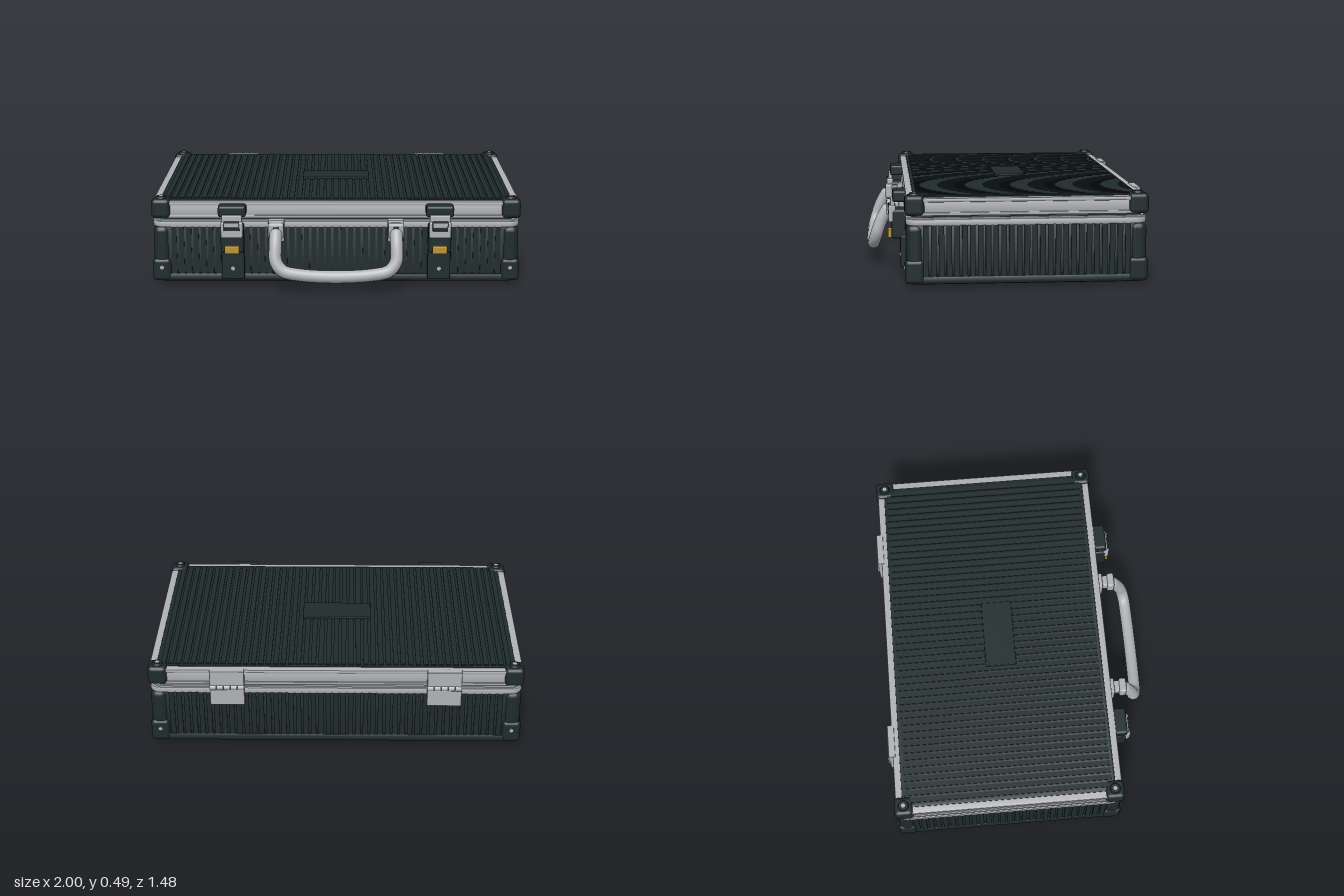
import * as THREE from 'three';
import { mergeGeometries, toCreasedNormals } from 'three/addons/utils/BufferGeometryUtils.js';
import { RoundedBoxGeometry } from 'three/addons/geometries/RoundedBoxGeometry.js';

const mat = (name, color) => {
  const m = new THREE.MeshStandardMaterial({ color });
  m.name = name;
  return m;
};

export function createModel() {
  const model = new THREE.Group();
  model.name = 'briefcase';
  const dark = mat('dark shell', 0x1f2b2b);
  const silver = mat('brushed silver', 0xb0b2b6);
  const gold = mat('gold button', 0xbd942f);
  const ZC = -0.087; // centre of the case in z

  const add = (name, geo, material, x = 0, y = 0, z = 0, parent = model) => {
    const mesh = new THREE.Mesh(geo, material);
    mesh.name = name;
    mesh.position.set(x, y, z);
    parent.add(mesh);
    return mesh;
  };
  // box given by its lower and upper limits, with softened edges
  const block = (name, material, [x0, x1], [y0, y1], [z0, z1], r = 0.006, parent = model) =>
    add(name, new RoundedBoxGeometry(x1 - x0, y1 - y0, z1 - z0, 2, r), material,
      (x0 + x1) / 2, (y0 + y1) / 2, (z0 + z1) / 2, parent);

  // horizontal slab with rounded corners and bevelled edges
  const slab = (name, material, hx, hz, r, y0, y1, b) => {
    const X = hx - b, Z = hz - b, R = r - b;
    const s = new THREE.Shape();
    s.moveTo(-X + R, -Z);
    s.lineTo(X - R, -Z);
    s.absarc(X - R, -Z + R, R, -Math.PI / 2, 0);
    s.absarc(X - R, Z - R, R, 0, Math.PI / 2);
    s.absarc(-X + R, Z - R, R, Math.PI / 2, Math.PI);
    s.absarc(-X + R, -Z + R, R, Math.PI, Math.PI * 1.5);
    const g = new THREE.ExtrudeGeometry(s, {
      depth: y1 - y0 - 2 * b, bevelEnabled: b > 0, bevelSize: b, bevelThickness: b,
      bevelSegments: 2, curveSegments: 8,
    });
    g.rotateX(-Math.PI / 2);
    return add(name, toCreasedNormals(g, 0.6), material, 0, y0 + b, ZC);
  };

  // shell, trim rails and lid
  slab('bottomRim', dark, 0.995, 0.622, 0.06, 0.02, 0.065, 0.014);
  slab('lowerShell', dark, 0.985, 0.61, 0.07, 0.05, 0.335, 0.004);
  slab('lowerRail', silver, 0.995, 0.62, 0.06, 0.325, 0.358, 0.005);
  slab('lowerRailLip', silver, 0.985, 0.61, 0.055, 0.355, 0.366, 0.002);
  slab('seal', dark, 0.972, 0.597, 0.05, 0.36, 0.385, 0.002);
  slab('lidLip', silver, 0.992, 0.617, 0.06, 0.376, 0.392, 0.003);
  slab('lidRail', silver, 0.985, 0.61, 0.055, 0.385, 0.45, 0.003);
  slab('lidTopRail', silver, 0.994, 0.618, 0.06, 0.445, 0.466, 0.005);
  slab('lidPanel', dark, 0.957, 0.582, 0.02, 0.455, 0.47, 0.002);

  // evenly spaced ribs, merged for each face
  const ribs = (name, half, pitch, makeBox) => {
    const list = [];
    const n = Math.floor(half / pitch);
    for (let i = -n; i <= n; i++) list.push(makeBox(i * pitch));
    add(name, mergeGeometries(list), dark);
  };
  const ribBox = (w, h, d, x, y, z) => new THREE.BoxGeometry(w, h, d).translate(x, y, z);
  ribs('topRibs', 0.94, 0.04, (t) => ribBox(0.028, 0.01, 1.13, t, 0.471, ZC));
  for (const s of [1, -1]) {
    ribs(s > 0 ? 'frontRibs' : 'backRibs', 0.89, 0.04,
      (t) => ribBox(0.028, 0.27, 0.014, t, 0.194, ZC + s * 0.61));
    ribs(s > 0 ? 'leftRibs' : 'rightRibs', 0.52, 0.04,
      (t) => ribBox(0.014, 0.27, 0.028, s * 0.985, 0.194, ZC + t));
  }
  block('namePlate', dark, [-0.19, 0.19], [0.465, 0.484], [-0.155, 0.015], 0.003);

  // screw head: short cylinder, facing up or outward along z
  const screw = (x, y, z, upright, parent = model) => {
    const m = add('screw', new THREE.CylinderGeometry(0.011, 0.011, 0.008, 14), silver, x, y, z, parent);
    if (!upright) m.rotation.x = Math.PI / 2;
  };

  // corner guards and feet
  for (const sx of [1, -1]) {
    for (const sz of [1, -1]) {
      const x = sx * 0.949, z = ZC + sz * 0.576;
      add('lidCorner', new RoundedBoxGeometry(0.102, 0.105, 0.102, 4, 0.022), dark, x, 0.427, z);
      add('lidCornerBoss', new THREE.CylinderGeometry(0.025, 0.032, 0.014, 20), dark, x, 0.483, z);
      screw(x, 0.487, z, true);
      add('cornerPost', new RoundedBoxGeometry(0.09, 0.28, 0.09, 4, 0.035), dark, sx * 0.948, 0.19, ZC + sz * 0.575);
      add('lowerCorner', new RoundedBoxGeometry(0.1, 0.125, 0.1, 4, 0.022), dark, sx * 0.95, 0.085, ZC + sz * 0.577);
      screw(x, 0.1, ZC + sz * 0.627, false);
      add('foot', new RoundedBoxGeometry(0.14, 0.034, 0.114, 2, 0.012), dark, sx * 0.785, 0.017, ZC + sz * 0.433);
    }
  }

  for (const s of [1, -1]) {
    // front latch
    const latch = new THREE.Group();
    latch.name = s > 0 ? 'leftLatch' : 'rightLatch';
    latch.position.x = s * 0.56;
    model.add(latch);
    block('latchCatch', dark, [-0.075, 0.075], [0.395, 0.457], [0.51, 0.597], 0.014, latch);
    block('latchBase', dark, [-0.062, 0.062], [0.195, 0.355], [0.51, 0.603], 0.016, latch);
    block('latchStrip', dark, [-0.062, 0.062], [0.04, 0.21], [0.51, 0.556], 0.006, latch);
    block('latchLever', silver, [-0.059, 0.059], [0.285, 0.375], [0.58, 0.619], 0.009, latch);
    block('latchHook', silver, [-0.055, 0.055], [0.355, 0.41], [0.585, 0.608], 0.007, latch);
    block('leverSlot', dark, [-0.042, 0.042], [0.326, 0.378], [0.612, 0.621], 0.003, latch);
    block('leverTab', silver, [-0.04, 0.04], [0.345, 0.372], [0.614, 0.623], 0.003, latch);
    block('latchButton', gold, [-0.04, 0.04], [0.198, 0.242], [0.585, 0.622], 0.006, latch);
    screw(0, 0.1, 0.557, false, latch);

    // handle mount
    const mount = new THREE.Group();
    mount.name = s > 0 ? 'leftHandleMount' : 'rightHandleMount';
    mount.position.x = s * 0.323;
    model.add(mount);
    block('mountPlate', silver, [-0.043, 0.043], [0.25, 0.37], [0.51, 0.56], 0.006, mount);
    block('mountArm', silver, [-0.032, 0.032], [0.305, 0.358], [0.54, 0.605], 0.008, mount);
    block('mountEye', silver, [-0.042, 0.042], [0.285, 0.368], [0.588, 0.628], 0.012, mount);
    block('mountSlot', dark, [-0.015, 0.015], [0.342, 0.352], [0.622, 0.63], 0.002, mount);

    // rear hinge with a row of knuckles
    const hinge = new THREE.Group();
    hinge.name = s > 0 ? 'leftHinge' : 'rightHinge';
    hinge.position.x = s * 0.578;
    model.add(hinge);
    block('upperLeaf', silver, [-0.092, 0.092], [0.38, 0.468], [-0.728, -0.69], 0.004, hinge);
    block('lowerLeaf', silver, [-0.092, 0.092], [0.262, 0.36], [-0.728, -0.69], 0.004, hinge);
    for (let i = -2; i <= 2; i++) {
      const k = add('hingeKnuckle', new THREE.CylinderGeometry(0.016, 0.016, 0.034, 16), silver, i * 0.037, 0.37, -0.721, hinge);
      k.rotation.z = Math.PI / 2;
    }
  }

  // carrying handle hanging forward from its mounts
  const half = [[0.323, 0.31, 0.625], [0.325, 0.25, 0.657], [0.322, 0.175, 0.683], [0.285, 0.127, 0.697], [0.2, 0.107, 0.702]];
  const path = [
    ...half.map(([x, y, z]) => new THREE.Vector3(-x, y, z)),
    new THREE.Vector3(0, 0.096, 0.705),
    ...half.slice().reverse().map((p) => new THREE.Vector3(...p)),
  ];
  add('handle', new THREE.TubeGeometry(new THREE.CatmullRomCurve3(path), 80, 0.034, 16), silver);
  for (const s of [1, -1]) add('handleEnd', new THREE.SphereGeometry(0.034, 16, 12), silver, s * 0.323, 0.31, 0.625);

  return model;
}
